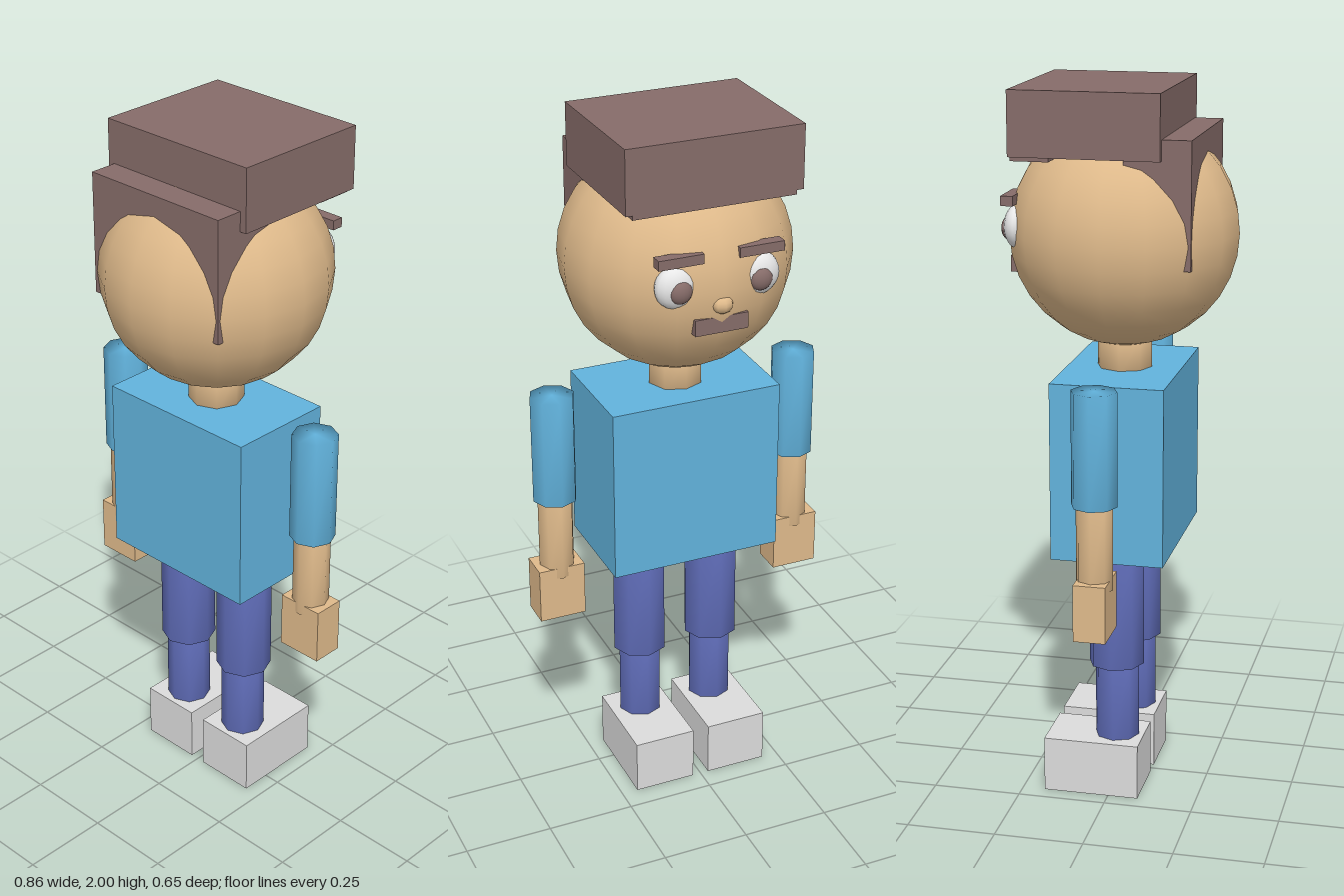
import * as THREE from 'three';
import { mergeVertices } from 'three/addons/utils/BufferGeometryUtils.js';

const mat = (name, color) => new THREE.MeshStandardMaterial({ name, color });

export function createModel() {
  const model = new THREE.Group();
  model.name = 'blockFigure';

  const skin = mat('skin', 0xdfba8b);
  const hair = mat('hairBrown', 0x866c69);
  const shirt = mat('shirtBlue', 0x62b3dd);
  const trousers = mat('trousersIndigo', 0x606db9);
  const shoe = mat('shoeGrey', 0xdcdcdc);
  const white = mat('eyeWhite', 0xf4f4f4);

  const add = (name, geometry, material) => {
    const mesh = new THREE.Mesh(geometry, material);
    mesh.name = name;
    model.add(mesh);
    return mesh;
  };

  // Box given by its limits on each axis
  const box = (name, material, [x0, x1], [y0, y1], [z0, z1]) =>
    add(name, new THREE.BoxGeometry(x1 - x0, y1 - y0, z1 - z0), material)
      .position.set((x0 + x1) / 2, (y0 + y1) / 2, (z0 + z1) / 2);

  // Eight-sided limb with normals smoothed over the rims
  const limb = (name, material, r, x, y0, y1, z = 0) => {
    let g = new THREE.CylinderGeometry(r, r, y1 - y0, 8);
    g.deleteAttribute('uv');
    g.deleteAttribute('normal');
    g = mergeVertices(g, 1e-4);
    g.computeVertexNormals();
    add(name, g, material).position.set(x, (y0 + y1) / 2, z);
  };

  const ball = (name, material, [rx, ry, rz], [x, y, z], w = 16, h = 12) => {
    const g = new THREE.SphereGeometry(1, w, h).scale(rx, ry, rz);
    add(name, g, material).position.set(x, y, z);
  };

  // Head, neck and torso
  ball('head', skin, [0.317, 0.317, 0.317], [0, 1.602, 0.004], 16, 16);
  limb('neck', skin, 0.077, 0, 1.2, 1.32, 0.004);
  box('torso', shirt, [-0.247, 0.247], [0.72, 1.22], [-0.15, 0.165]);

  // Hair: top block, thin fringe and the block behind the head
  box('hairTop', hair, [-0.247, 0.247], [1.825, 2], [-0.256, 0.152]);
  box('hairFringe', hair, [-0.228, 0.228], [1.812, 1.83], [-0.254, -0.15]);
  box('hairBack', hair, [-0.227, 0.227], [1.538, 1.88], [0.05, 0.231]);

  // Nose and mouth
  ball('nose', skin, [0.03, 0.025, 0.025], [0, 1.565, -0.3], 8, 8);
  box('mouth', hair, [-0.075, 0.075], [1.485, 1.53], [-0.299, -0.265]);

  for (const s of [-1, 1]) {
    const side = s > 0 ? 'left' : 'right';
    const span = (a, b) => (s > 0 ? [a, b] : [-b, -a]);

    // Eye and brow
    ball(side + 'Eye', white, [0.06, 0.06, 0.037], [s * 0.115, 1.62, -0.266]);
    ball(side + 'Pupil', hair, [0.032, 0.033, 0.022], [s * 0.113, 1.614, -0.29]);
    box(side + 'Brow', hair, span(0.05, 0.176), [1.683, 1.71], [-0.297, -0.263]);

    // Arm
    limb(side + 'Sleeve', shirt, 0.063, s * 0.363, 0.925, 1.24, 0.003);
    limb(side + 'Forearm', skin, 0.051, s * 0.363, 0.69, 0.93, 0.003);
    box(side + 'Hand', skin, span(0.297, 0.431), [0.56, 0.72], [-0.041, 0.048]);

    // Leg
    limb(side + 'Thigh', trousers, 0.079, s * 0.113, 0.38, 0.74, 0.006);
    limb(side + 'Shin', trousers, 0.063, s * 0.112, 0.14, 0.4, 0.008);
    box(side + 'Shoe', shoe, span(0.024, 0.203), [0, 0.16], [-0.186, 0.086]);
  }

  return model;
}
